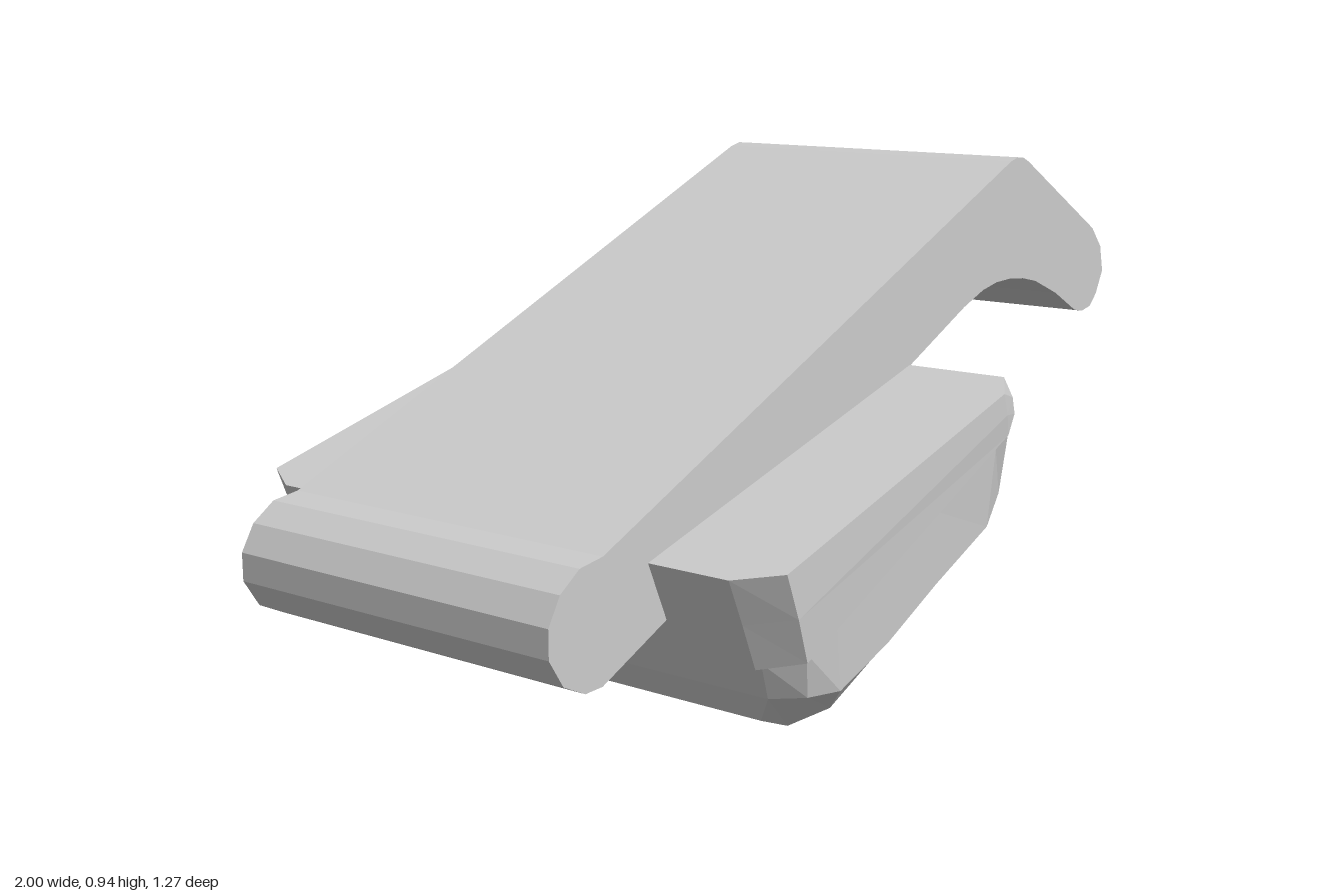
import * as THREE from 'three';

const material = new THREE.MeshStandardMaterial({ color: 0xcccccc, flatShading: true });

// Loft along x. Each section: top, mid and bottom points in xy, and the half-width in z of each.
function loft(name, sections) {
  const pos = [];
  const rings = sections.map(([tx, ty, mx, my, bx, by, tw, mw, bw]) => [
    [tx, ty, tw], [mx, my, mw], [bx, by, bw],
    [bx, by, -bw], [mx, my, -mw], [tx, ty, -tw],
  ]);
  const tri = (a, b, c) => pos.push(...a, ...b, ...c);
  for (let i = 0; i < rings.length - 1; i++) {
    const p = rings[i], q = rings[i + 1];
    for (let k = 0; k < 6; k++) {
      const n = (k + 1) % 6;
      tri(p[k], p[n], q[n]);
      tri(p[k], q[n], q[k]);
    }
  }
  // End caps as three-level strips
  const cap = (r) => {
    for (const [a, b, c, d] of [[0, 1, 4, 5], [1, 2, 3, 4]]) {
      tri(r[a], r[b], r[c]);
      tri(r[a], r[c], r[d]);
    }
  };
  cap(rings[rings.length - 1]);
  cap([5, 4, 3, 2, 1, 0].map((k) => rings[0][k]));

  const geometry = new THREE.BufferGeometry();
  geometry.setAttribute('position', new THREE.Float32BufferAttribute(pos, 3));
  geometry.computeVertexNormals();
  const mesh = new THREE.Mesh(geometry, material);
  mesh.name = name;
  return mesh;
}

// Bent arm with rounded tips, extruded across z
function makeArm() {
  const halfWidth = 0.377;
  const outline = [
    [-0.86, 0.375], [-0.92, 0.368], [-0.97, 0.335], [-1, 0.285], [-1, 0.23], [-0.965, 0.175],
    [-0.91, 0.147], [-0.865, 0.147], [-0.7, 0.215], [0.13, 0.555], [0.34, 0.645],
    [0.42, 0.672], [0.48, 0.682], [0.54, 0.683], [0.6, 0.677], [0.66, 0.664], [0.76, 0.625],
    [0.86, 0.573], [0.9, 0.565], [0.94, 0.572], [0.97, 0.598], [1, 0.65],
    [0.985, 0.71], [0.94, 0.757], [0.61, 0.936], [0.585, 0.946], [0.56, 0.948], [0.53, 0.941],
  ];
  const shape = new THREE.Shape(outline.map(([x, y]) => new THREE.Vector2(x, y)));
  const geometry = new THREE.ExtrudeGeometry(shape, { depth: halfWidth * 2, bevelEnabled: false });
  geometry.translate(0, 0, -halfWidth);
  const mesh = new THREE.Mesh(geometry, material);
  mesh.name = 'arm';
  return mesh;
}

export function createModel() {
  const group = new THREE.Group();
  group.name = 'bentArmWithPad';

  group.add(makeArm());

  // Wedge plate under the arm, with clipped corners
  group.add(loft('plate', [
    [-0.74, 0.335, -0.70, 0.245, -0.662, 0.155, 0.55, 0.55, 0.55],
    [-0.69, 0.348, -0.655, 0.26, -0.62, 0.172, 0.635, 0.635, 0.63],
    [0.05, 0.535, 0.065, 0.49, 0.08, 0.447, 0.635, 0.635, 0.63],
    [0.12, 0.553, 0.14, 0.51, 0.15, 0.475, 0.595, 0.605, 0.605],
  ]));

  // Curved pad below the plate, with bevelled lower rim
  group.add(loft('pad', [
    [-0.645, 0.162, -0.61, 0.085, -0.575, 0.025, 0.55, 0.54, 0.50],
    [-0.60, 0.18, -0.575, 0.09, -0.52, 0.003, 0.615, 0.60, 0.52],
    [-0.52, 0.212, -0.50, 0.085, -0.45, 0.026, 0.625, 0.62, 0.565],
    [-0.36, 0.275, -0.35, 0.135, -0.32, 0.088, 0.63, 0.625, 0.575],
    [-0.18, 0.345, -0.18, 0.205, -0.16, 0.16, 0.63, 0.625, 0.575],
    [0.03, 0.428, 0.02, 0.272, 0.02, 0.228, 0.63, 0.62, 0.57],
    [0.10, 0.455, 0.12, 0.315, 0.125, 0.253, 0.62, 0.59, 0.54],
    [0.135, 0.468, 0.175, 0.335, 0.168, 0.282, 0.60, 0.52, 0.50],
  ]));

  return group;
}
